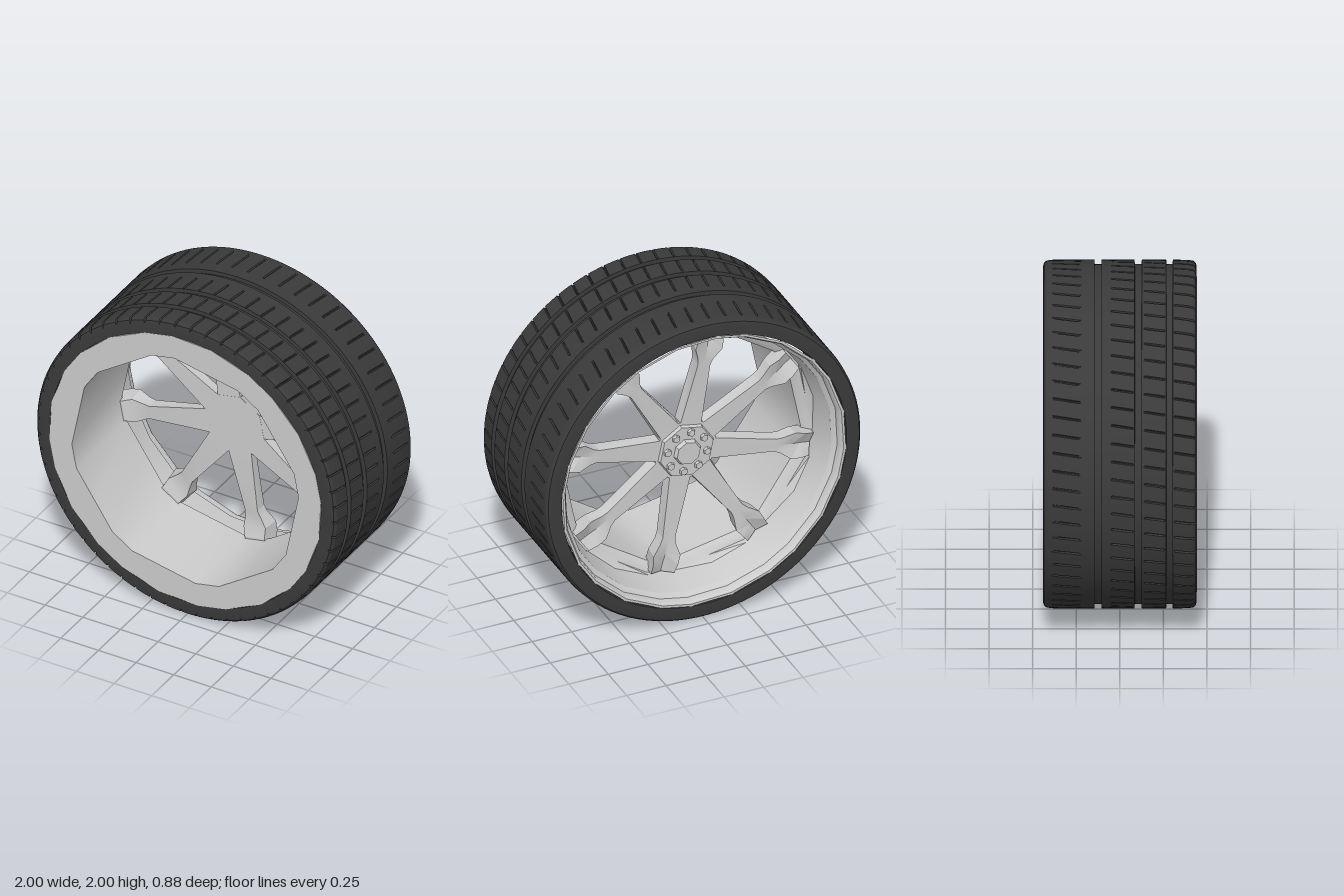
import * as THREE from 'three';
import { toCreasedNormals } from 'three/addons/utils/BufferGeometryUtils.js';

const RAD = Math.PI / 180;
const SPOKES = 8, STEP = 45, OFFSET = 11.25; // degrees

const metal = new THREE.MeshStandardMaterial({ color: 0xcccccc });
const rubber = new THREE.MeshStandardMaterial({ color: 0x3a3a3a });

// Surface through rows of points; every row is a closed loop of cols points.
function loft(rows, cols, point, crease) {
  const pos = [], idx = [];
  for (let i = 0; i < rows; i++)
    for (let j = 0; j < cols; j++) pos.push(...point(i, j));
  for (let i = 0; i < rows - 1; i++)
    for (let j = 0; j < cols; j++) {
      const k = (j + 1) % cols;
      const a = i * cols + j, d = i * cols + k, b = a + cols, c = d + cols;
      idx.push(a, d, b, d, c, b);
    }
  const g = new THREE.BufferGeometry();
  g.setAttribute('position', new THREE.Float32BufferAttribute(pos, 3));
  g.setIndex(idx);
  return toCreasedNormals(g, crease);
}

function add(parent, name, geometry, material) {
  const mesh = new THREE.Mesh(geometry, material);
  mesh.name = name;
  parent.add(mesh);
  return mesh;
}

// Prism along z between zBack and zFront
function prism(rBack, rFront, zBack, zFront, sides, turn = 0) {
  const g = new THREE.CylinderGeometry(rFront, rBack, zFront - zBack, sides);
  g.rotateX(Math.PI / 2).rotateZ(turn * RAD).translate(0, 0, (zBack + zFront) / 2);
  return toCreasedNormals(g, 0.3);
}

// Tyre: [z, radius, sipe depth], from the back bead to the front bead
function tyreGeometry() {
  const profile = [
    [-0.40, 0.89, 0], [-0.44, 0.9, 0], [-0.44, 0.965, 0], [-0.435, 0.983, 0], [-0.42, 0.995, 0],
    [-0.39, 0.999, 0], [-0.38, 1, 0.006], [-0.24, 1, 0.012], [-0.22, 1, 0],
    [-0.146, 1, 0], [-0.144, 0.976, 0], [-0.106, 0.976, 0], [-0.104, 1, 0],
    [-0.05, 1, 0], [-0.04, 1, 0.012], [0.07, 1, 0.012], [0.08, 1, 0],
    [0.084, 1, 0], [0.086, 0.976, 0], [0.124, 0.976, 0], [0.126, 1, 0],
    [0.14, 1, 0], [0.15, 1, 0.008], [0.25, 1, 0.012], [0.26, 1, 0],
    [0.266, 1, 0], [0.268, 0.976, 0], [0.302, 0.976, 0], [0.304, 1, 0],
    [0.31, 1, 0], [0.32, 1, 0.012], [0.39, 0.999, 0.012], [0.42, 0.995, 0.012],
    [0.435, 0.983, 0.012], [0.44, 0.965, 0.004], [0.44, 0.9, 0], [0.40, 0.89, 0],
  ];
  const blocks = 60;
  const columns = [0, 0.04, 0.09, 0.13, 0.56]; // second and third form the sipe floor
  const n = columns.length;
  return loft(profile.length, blocks * n, (i, j) => {
    const [z, r, depth] = profile[i];
    const c = j % n;
    const angle = (Math.floor(j / n) + columns[c]) * 2 * Math.PI / blocks + 0.15 * z;
    const radius = r - (c === 1 || c === 2 ? depth : 0);
    return [radius * Math.cos(angle), radius * Math.sin(angle), z];
  }, 0.5);
}

// Rim: [z, radius, faceted]; faceted rows have a long flat side between spokes
function rimGeometry() {
  const profile = [
    [0.40, 0.905, 0], [0.442, 0.905, 0], [0.442, 0.756, 1], [-0.13, 0.756, 1], [-0.155, 0.785, 1],
    [-0.165, 0.815, 1], [-0.20, 0.815, 0], [-0.36, 0.845, 0], [-0.385, 0.87, 0],
    [-0.425, 0.875, 0], [-0.44, 0.885, 0], [-0.44, 0.9, 0],
  ];
  const angles = [-6, 6, 22.5];
  return loft(profile.length, SPOKES * 3, (i, j) => {
    const [z, r, faceted] = profile[i];
    const angle = (OFFSET + Math.floor(j / 3) * STEP + angles[j % 3]) * RAD;
    const radius = faceted && j % 3 === 2 ? r * Math.cos(16.5 * RAD) : r;
    return [radius * Math.cos(angle), radius * Math.sin(angle), z];
  }, 0.5);
}

// Spoke along +x: [x, front half width, back half width, front z, back z, back hollow]
function spokeGeometry() {
  const sections = [
    [0.12, 0.076, 0.07, -0.12, -0.185, 0],
    [0.19, 0.076, 0.066, -0.12, -0.185, 0],
    [0.57, 0.042, 0.04, -0.12, -0.20, 0],
    [0.61, 0.05, 0.05, -0.125, -0.205, 0.005],
    [0.68, 0.074, 0.086, -0.12, -0.22, 0.025],
    [0.74, 0.066, 0.08, -0.10, -0.225, 0.04],
    [0.80, 0.066, 0.075, -0.10, -0.21, 0.03],
  ];
  return loft(sections.length, 5, (i, j) => {
    const [x, wf, wb, zf, zb, hollow] = sections[i];
    return [[x, wb, zb], [x, wf, zf], [x, -wf, zf], [x, -wb, zb], [x, 0, zb + hollow]][j];
  }, 0.3);
}

export function createModel() {
  const model = new THREE.Group();
  model.name = 'wheel';
  const wheel = new THREE.Group();
  wheel.name = 'wheelAssembly';
  wheel.position.y = 1;
  model.add(wheel);

  add(wheel, 'tyre', tyreGeometry(), rubber);
  add(wheel, 'rim', rimGeometry(), metal);

  // Spokes
  const spoke = spokeGeometry();
  for (let i = 0; i < SPOKES; i++)
    add(wheel, 'spoke', spoke, metal).rotation.z = (OFFSET + i * STEP) * RAD;

  // Hub with bolt plate, centre cap and bolts on the back
  const hub = new THREE.Group();
  hub.name = 'hub';
  wheel.add(hub);
  const turn = OFFSET + STEP / 2;
  add(hub, 'hubBody', prism(0.195, 0.2, -0.185, -0.119, 8, turn), metal);
  add(hub, 'boltPlate', prism(0.17, 0.18, -0.205, -0.18, 8, turn), metal);
  add(hub, 'centreCap', prism(0.075, 0.088, -0.23, -0.2, 8, turn), metal);
  const bolt = prism(0.022, 0.026, -0.222, -0.2, 6);
  for (let i = 0; i < SPOKES; i++) {
    const a = (OFFSET + i * STEP) * RAD;
    add(hub, 'bolt', bolt, metal).position.set(0.127 * Math.cos(a), 0.127 * Math.sin(a), 0);
  }
  return model;
}
